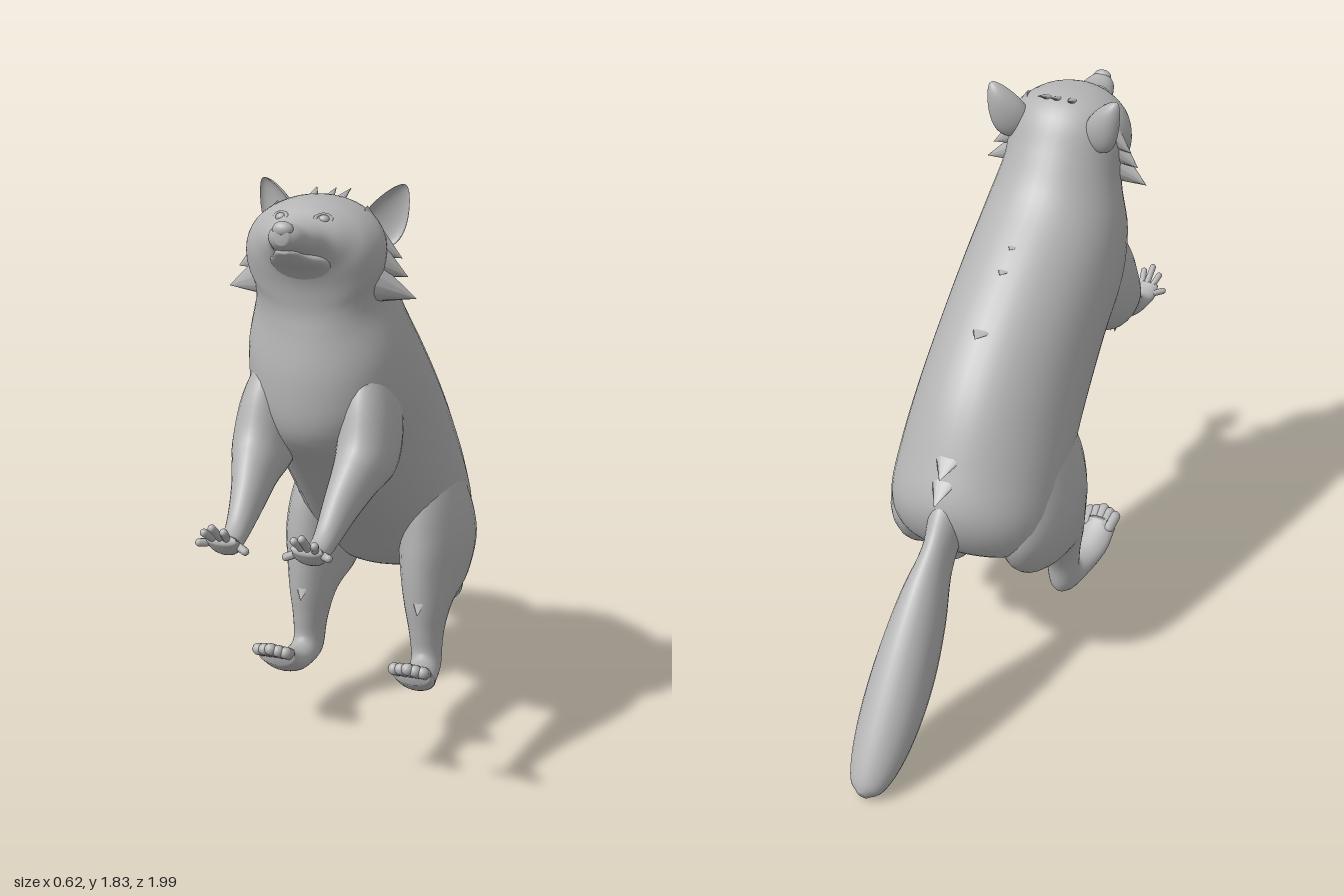
import * as THREE from 'three';

const fur = new THREE.MeshStandardMaterial({ color: 0xb4b4b4 });
fur.name = 'greyFur';
const V = (x, y, z) => new THREE.Vector3(x, y, z);

function add(parent, name, geometry) {
  const mesh = new THREE.Mesh(geometry, fur);
  mesh.name = name;
  parent.add(mesh);
}

// Smooth skin through rings [centre x, half width, z1, y1, z2, y2]:
// each ring is an ellipse whose axis runs from (y1, z1) to (y2, z2).
function loft(rings, side = 1, steps = 5, sides = 28) {
  const curve = (f) => new THREE.CatmullRomCurve3(rings.map(f), false, 'catmullrom', 0.5);
  const first = curve((r) => V(r[0] * side, r[3], r[2]));
  const second = curve((r) => V(r[0] * side, r[5], r[4]));
  const width = curve((r) => V(r[1], 0, 0));
  const n = (rings.length - 1) * steps;
  const pos = [], index = [], mids = [];
  let facing = 0;
  for (let i = 0; i <= n; i++) {
    const a = first.getPoint(i / n), b = second.getPoint(i / n);
    const c = a.clone().add(b).multiplyScalar(0.5), v = a.sub(c);
    const w = width.getPoint(i / n).x;
    if (i) facing += (c.z - mids[i - 1].z) * v.y - (c.y - mids[i - 1].y) * v.z;
    mids.push(c);
    for (let j = 0; j < sides; j++) {
      const t = (j / sides) * Math.PI * 2;
      pos.push(c.x + w * Math.sin(t), c.y + v.y * Math.cos(t), c.z + v.z * Math.cos(t));
    }
  }
  const tri = (a, b, c) => (facing > 0 ? index.push(a, b, c) : index.push(a, c, b));
  const start = (n + 1) * sides;
  pos.push(...mids[0].toArray(), ...mids[n].toArray());
  for (let j = 0; j < sides; j++) {
    const k = (j + 1) % sides;
    for (let i = 0; i < n; i++) {
      const p = i * sides, q = p + sides;
      tri(p + j, q + j, p + k);
      tri(p + k, q + j, q + k);
    }
    tri(start, j, k);
    tri(start + 1, n * sides + k, n * sides + j);
  }
  const g = new THREE.BufferGeometry();
  g.setAttribute('position', new THREE.Float32BufferAttribute(pos, 3));
  g.setIndex(index);
  g.computeVertexNormals();
  return g;
}

// Flat pointed lock of fur from base to tip, lying across the given normal
function tuft(parent, name, base, tip, normal, width, thick = 0.015) {
  const y = tip.clone().sub(base), length = y.length();
  y.normalize();
  const x = y.clone().cross(normal).normalize(), z = x.clone().cross(y);
  const g = new THREE.ConeGeometry(1, length, 12).scale(width, 1, thick);
  g.applyMatrix4(new THREE.Matrix4().makeBasis(x, y, z));
  g.translate(...base.clone().add(tip).multiplyScalar(0.5).toArray());
  add(parent, name, g);
}

// Rounded finger or toe
function digit(parent, name, from, to, r) {
  const d = to.clone().sub(from), length = d.length();
  const g = new THREE.CapsuleGeometry(r, Math.max(length - 2 * r, 0.002), 4, 10);
  g.applyQuaternion(new THREE.Quaternion().setFromUnitVectors(V(0, 1, 0), d.normalize()));
  g.translate(...from.clone().add(to).multiplyScalar(0.5).toArray());
  add(parent, name, g);
}

function ball(parent, name, p, sx, sy, sz) {
  add(parent, name, new THREE.SphereGeometry(1, 20, 14).scale(sx, sy, sz).translate(p.x, p.y, p.z));
}

function buildFace(head) {
  add(head, 'lowerJaw', loft([
    [0, 0.1, 0.56, 1.68, 0.6, 1.57],
    [0, 0.083, 0.635, 1.68, 0.65, 1.622],
    [0, 0.055, 0.69, 1.685, 0.703, 1.65],
    [0, 0.032, 0.732, 1.7, 0.738, 1.677],
    [0, 0.012, 0.747, 1.7, 0.75, 1.688],
  ]));
  ball(head, 'nose', V(0, 1.755, 0.752), 0.03, 0.022, 0.02);
  for (const x of [-0.035, 0.005, 0.035])
    tuft(head, 'crownTuft', V(x, 1.775, 0.45), V(x * 1.5, 1.81, 0.35), V(0, 1, 0), 0.025);

  for (const s of [-1, 1]) {
    // Cupped, pointed ear: the front half of a flattened ball is pushed inward
    const g = new THREE.SphereGeometry(1, 24, 18);
    const p = g.attributes.position;
    for (let i = 0; i < p.count; i++) {
      p.setX(i, p.getX(i) * (1 - 0.4 * p.getY(i)));
      if (p.getZ(i) > 0) p.setZ(i, p.getZ(i) * -0.6);
    }
    g.scale(0.058, 0.098, 0.042).rotateZ(-0.5 * s).rotateY(0.35 * s);
    g.translate(0.173 * s, 1.742, 0.375).computeVertexNormals();
    add(head, 'ear', g);

    ball(head, 'eye', V(0.062 * s, 1.76, 0.607), 0.017, 0.014, 0.014);
    const lid = new THREE.TorusGeometry(0.02, 0.006, 8, 20).scale(1.1, 0.75, 1);
    lid.rotateX(-0.6).rotateY(0.45 * s).translate(0.062 * s, 1.762, 0.61);
    add(head, 'eyelid', lid);

    // Broad cheek ruff ending in points
    const out = V(0.3 * s, 0.1, 1);
    tuft(head, 'cheekTuft', V(0.08 * s, 1.6, 0.51), V(0.285 * s, 1.527, 0.465), out, 0.1, 0.07);
    tuft(head, 'cheekTuft', V(0.1 * s, 1.665, 0.49), V(0.257 * s, 1.585, 0.455), out, 0.09, 0.06);
    tuft(head, 'cheekTuft', V(0.1 * s, 1.71, 0.47), V(0.236 * s, 1.635, 0.445), out, 0.08, 0.05);
  }
}

function buildArm(arm, s) {
  add(arm, 'armSkin', loft([
    [0.125, 0.07, 0.5, 1.39, 0.24, 1.22],
    [0.152, 0.088, 0.585, 1.26, 0.34, 1.07],
    [0.16, 0.086, 0.637, 1.14, 0.44, 0.985],
    [0.152, 0.067, 0.685, 1.085, 0.56, 0.955],
    [0.14, 0.05, 0.745, 1.02, 0.67, 0.915],
    [0.132, 0.036, 0.82, 0.945, 0.78, 0.875],
    [0.128, 0.034, 0.87, 0.92, 0.86, 0.86],
    [0.125, 0.046, 0.9, 0.925, 0.915, 0.875],
    [0.125, 0.045, 0.93, 0.94, 0.945, 0.915],
  ], s));
  const tips = [[0.05, 0.89, 0.925], [0.1, 0.968, 0.975], [0.13, 0.982, 0.99], [0.163, 0.96, 0.975], [0.197, 0.912, 0.945]];
  for (const [x, y, z] of tips)
    digit(arm, 'finger', V((0.125 + (x - 0.125) * 0.4) * s, 0.905, 0.905), V(x * s, y, z), 0.0115);
  tuft(arm, 'elbowTuft', V(0.165 * s, 1.02, 0.56), V(0.17 * s, 0.935, 0.53), V(1, 0, 0), 0.05, 0.03);
  tuft(arm, 'elbowTuft', V(0.17 * s, 1.04, 0.52), V(0.175 * s, 0.965, 0.48), V(1, 0, 0), 0.045, 0.03);
}

function buildLeg(leg, s) {
  add(leg, 'legSkin', loft([
    [0.14, 0.07, 0.02, 0.97, -0.2, 0.93],
    [0.178, 0.1, 0.115, 0.8, -0.28, 0.76],
    [0.195, 0.116, 0.14, 0.66, -0.335, 0.58],
    [0.197, 0.102, 0.145, 0.54, -0.25, 0.44],
    [0.2, 0.076, 0.14, 0.43, -0.085, 0.4],
    [0.203, 0.056, 0.128, 0.34, -0.015, 0.3],
    [0.208, 0.049, 0.125, 0.265, 0.02, 0.18],
    [0.217, 0.053, 0.18, 0.255, 0.15, 0.17],
    [0.226, 0.062, 0.25, 0.285, 0.24, 0.197],
    [0.228, 0.062, 0.305, 0.32, 0.31, 0.25],
  ], s));
  for (let i = 0; i < 5; i++) {
    const x = 0.18 + i * 0.0245, lift = 0.012 * (1 - Math.abs(i - 2) / 2);
    digit(leg, 'toe', V((x * 0.8 + 0.046) * s, 0.28, 0.28), V(x * s, 0.322 + lift, 0.355 + lift), 0.02);
  }
  // Shaggy fur at the knee
  tuft(leg, 'kneeTuft', V(0.2 * s, 0.51, 0.105), V(0.2 * s, 0.415, 0.155), V(0, 0, 1), 0.05);
}

export function createModel() {
  const model = new THREE.Group();
  model.name = 'standingAnimal';
  const part = (name) => {
    const g = new THREE.Group();
    g.name = name;
    model.add(g);
    return g;
  };

  // One skin from muzzle over skull and neck to the rump
  add(model, 'headAndTorso', loft([
    [0, 0.02, 0.768, 1.76, 0.77, 1.715],
    [0, 0.045, 0.74, 1.768, 0.75, 1.697],
    [0, 0.062, 0.69, 1.762, 0.71, 1.677],
    [0, 0.088, 0.63, 1.768, 0.665, 1.655],
    [0, 0.132, 0.58, 1.795, 0.635, 1.62],
    [0, 0.178, 0.52, 1.808, 0.615, 1.575],
    [0, 0.205, 0.42, 1.8, 0.605, 1.525],
    [0, 0.198, 0.345, 1.75, 0.602, 1.48],
    [0, 0.198, 0.285, 1.65, 0.608, 1.42],
    [0, 0.234, 0.2, 1.525, 0.625, 1.27],
    [0, 0.25, 0.03, 1.385, 0.605, 1.12],
    [0, 0.252, -0.16, 1.215, 0.485, 0.99],
    [0, 0.26, -0.3, 1.05, 0.32, 0.82],
    [0, 0.272, -0.395, 0.87, 0.16, 0.67],
    [0, 0.268, -0.45, 0.72, 0.02, 0.54],
    [0, 0.215, -0.41, 0.585, -0.1, 0.475],
    [0, 0.08, -0.31, 0.495, -0.2, 0.455],
  ], 1, 5, 40));

  add(model, 'tail', loft([
    [0, 0.07, -0.36, 0.83, -0.3, 0.6],
    [-0.005, 0.055, -0.45, 0.745, -0.385, 0.56],
    [-0.01, 0.05, -0.52, 0.665, -0.45, 0.475],
    [-0.012, 0.075, -0.63, 0.575, -0.53, 0.335],
    [-0.012, 0.092, -0.74, 0.45, -0.63, 0.2],
    [-0.012, 0.095, -0.845, 0.31, -0.74, 0.105],
    [-0.012, 0.082, -0.93, 0.185, -0.845, 0.035],
    [-0.012, 0.055, -0.985, 0.09, -0.93, 0.004],
    [-0.012, 0.014, -0.998, 0.045, -0.975, 0.008],
  ]));

  buildFace(part('face'));
  for (const s of [-1, 1]) {
    const label = s > 0 ? 'left' : 'right';
    buildArm(part(label + 'Arm'), s);
    buildLeg(part(label + 'Leg'), s);
  }

  // Locks of fur along the spine: base z, y then tip z, y
  const spine = [[0.14, 1.42, 0.05, 1.415], [0.07, 1.365, -0.02, 1.36], [-0.1, 1.225, -0.19, 1.218],
    [-0.35, 0.91, -0.435, 0.845], [-0.375, 0.85, -0.472, 0.77]];
  for (const [z1, y1, z2, y2] of spine)
    tuft(model, 'spineTuft', V(0, y1, z1), V(0, y2, z2), V(0, 0.8, -0.6), 0.06);
  return model;
}
